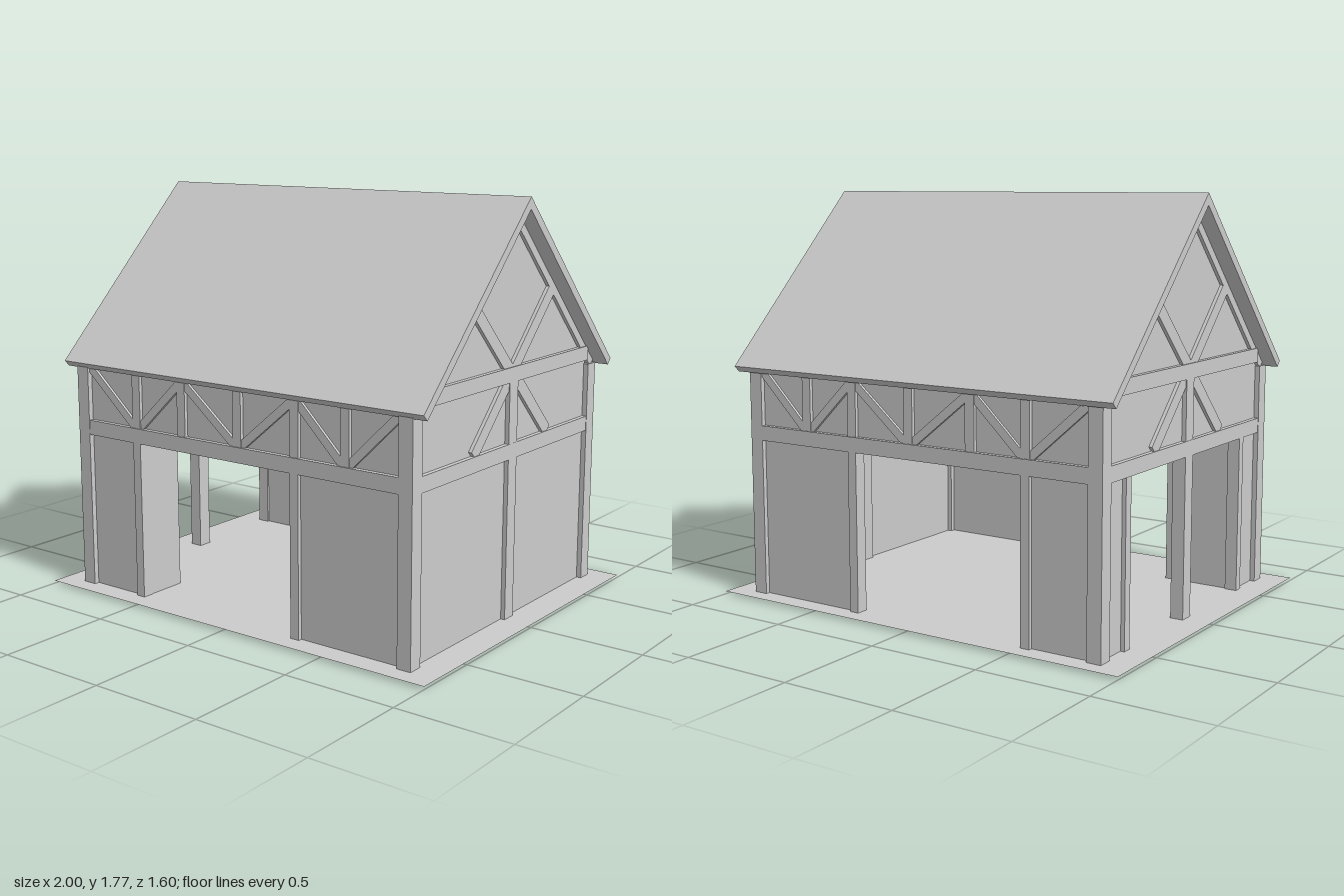
import * as THREE from 'three';

const mat = new THREE.MeshStandardMaterial({ color: 0xcccccc, flatShading: true });
const thin = new THREE.MeshStandardMaterial({ color: 0xcccccc, side: THREE.DoubleSide });
const RIDGE_Z = -0.01;   // ridge line
const FLOOR_Y = 0.012;

// A wall frame: local x runs along the wall, y is up, local z is its depth.
function wall(name, x, z, turn) {
  const g = new THREE.Group();
  g.name = name;
  g.position.set(x, 0, z);
  g.rotation.y = turn;
  return g;
}

function block(g, name, x0, x1, y0, y1, depth) {
  const m = new THREE.Mesh(new THREE.BoxGeometry(x1 - x0, y1 - y0, depth), mat);
  m.name = name;
  m.position.set((x0 + x1) / 2, (y0 + y1) / 2, 0);
  g.add(m);
  return m;
}

// Slanted timber between two points of a wall
function brace(g, name, ax, ay, bx, by, width, depth) {
  const len = Math.hypot(bx - ax, by - ay);
  const m = new THREE.Mesh(new THREE.BoxGeometry(len, width, depth), mat);
  m.name = name;
  m.position.set((ax + bx) / 2, (ay + by) / 2, 0);
  m.rotation.z = Math.atan2(by - ay, bx - ax);
  g.add(m);
}

// Outline in the wall plane, extruded evenly to both sides
function slab(g, name, pts, depth) {
  const shape = new THREE.Shape(pts.map(([x, y]) => new THREE.Vector2(x, y)));
  const geo = new THREE.ExtrudeGeometry(shape, { depth, bevelEnabled: false });
  geo.translate(0, 0, -depth / 2);
  const m = new THREE.Mesh(geo, mat);
  m.name = name;
  g.add(m);
}

// Inverted V at 45 degrees with square-cut ends
function chevron(g, name, peak, drop, half, depth) {
  const c = RIDGE_Z, e = drop / 2;
  slab(g, name, [
    [c, peak], [c - half, peak - half], [c - half + e, peak - half - e],
    [c, peak - drop], [c + half - e, peak - half - e], [c + half, peak - half],
  ], depth);
}

// Long walls: wide opening, side panels, zigzag braces under the eaves
function longWall(name, z) {
  const g = wall(name, 0, z, 0);
  const stations = [-0.82, -0.54, -0.28, 0.025, 0.32, 0.568, 0.82];
  block(g, 'lowerPanelLeft', 0.32, 0.83, FLOOR_Y, 0.71, 0.02);
  block(g, 'lowerPanelRight', -0.83, -0.54, FLOOR_Y, 0.71, 0.02);
  block(g, 'upperPanel', -0.83, 0.83, 0.76, 1.0, 0.02);
  block(g, 'beam', -0.83, 0.83, 0.7, 0.765, 0.062);
  for (const x of [-0.54, 0.32]) block(g, 'doorPost', x - 0.021, x + 0.021, 0, 0.71, 0.055);
  for (const x of stations.slice(1, -1)) block(g, 'stud', x - 0.022, x + 0.022, 0.76, 1.0, 0.052);
  for (let i = 0; i < 6; i++) {
    const down = i % 2 === 0;
    brace(g, 'eaveBrace', stations[i], down ? 1.0 : 0.755, stations[i + 1], down ? 0.755 : 1.0, 0.036, 0.045);
  }
  return g;
}

// Gable walls: local x follows the model's z
function gableWall(name, x, closed) {
  const g = wall(name, x, 0, -Math.PI / 2);
  const c = RIDGE_Z, mid = -0.018;
  block(g, 'middlePost', mid - 0.033, mid + 0.033, 0, 1.03, 0.058);
  block(g, 'beam', -0.67, 0.66, 0.7, 0.765, 0.06);
  block(g, 'tieBeam', -0.66, 0.64, 1.02, 1.083, 0.06);
  block(g, 'upperPanel', -0.67, 0.66, 0.76, 1.03, 0.02);
  slab(g, 'gablePanel', [[c - 0.66, 1.05], [c + 0.66, 1.05], [c, 1.71]], 0.02);
  chevron(g, 'gableRafters', 1.725, 0.055, 0.71, 0.05);
  for (const s of [-1, 1]) {
    brace(g, 'gableBrace', c, 1.055, c + s * 0.325, 1.38, 0.056, 0.05);
    brace(g, 'lowerBrace', mid + s * 0.03, 1.03, mid + s * 0.295, 0.765, 0.056, 0.05);
  }
  if (closed) {
    block(g, 'lowerPanel', -0.67, 0.66, FLOOR_Y, 0.71, 0.02);
  } else {
    // narrow closed strips beside the open bays
    block(g, 'stripPanelBack', -0.68, -0.52, FLOOR_Y, 0.71, 0.02);
    block(g, 'stripPanelFront', 0.49, 0.67, FLOOR_Y, 0.71, 0.02);
    block(g, 'jambBack', -0.54, -0.5, 0, 0.71, 0.055);
    block(g, 'jambFront', 0.47, 0.51, 0, 0.71, 0.055);
  }
  return g;
}

export function createModel() {
  const model = new THREE.Group();
  model.name = 'timberFramedBarn';

  // Ground sheet
  const floor = new THREE.Mesh(new THREE.PlaneGeometry(2, 1.6), thin);
  floor.name = 'groundSheet';
  floor.rotation.x = -Math.PI / 2;
  floor.position.y = FLOOR_Y;
  model.add(floor);

  // Walls
  model.add(longWall('frontWall', 0.688), longWall('backWall', -0.698));
  model.add(gableWall('leftWall', 0.854, true), gableWall('rightWall', -0.854, false));

  // Corner posts
  for (const x of [-0.854, 0.854]) {
    for (const z of [-0.695, 0.688]) {
      const post = new THREE.Mesh(new THREE.BoxGeometry(0.064, 1.0, 0.066), mat);
      post.name = 'cornerPost';
      post.position.set(x, 0.5, z);
      model.add(post);
    }
  }

  // Inner partitions boxing in the two corners beside the open side
  for (const [z, outer] of [[0.49, 0.69], [-0.52, -0.69]]) {
    const across = new THREE.Mesh(new THREE.BoxGeometry(0.35, 0.7, 0.02), mat);
    across.name = 'closetWall';
    across.position.set(-0.7, 0.36, z);
    const along = new THREE.Mesh(new THREE.BoxGeometry(0.02, 0.7, Math.abs(outer - z)), mat);
    along.name = 'closetReturn';
    along.position.set(-0.532, 0.36, (z + outer) / 2);
    model.add(across, along);
  }

  // Roof and ridge beam
  const roof = wall('roof', 0, 0, -Math.PI / 2);
  chevron(roof, 'roofSlopes', 1.77, 0.05, 0.75, 1.89);
  const ridge = block(roof, 'ridgeBeam', RIDGE_Z - 0.012, RIDGE_Z + 0.012, 1.69, 1.714, 1.8);
  ridge.rotation.z = Math.PI / 4;
  model.add(roof);

  return model;
}
